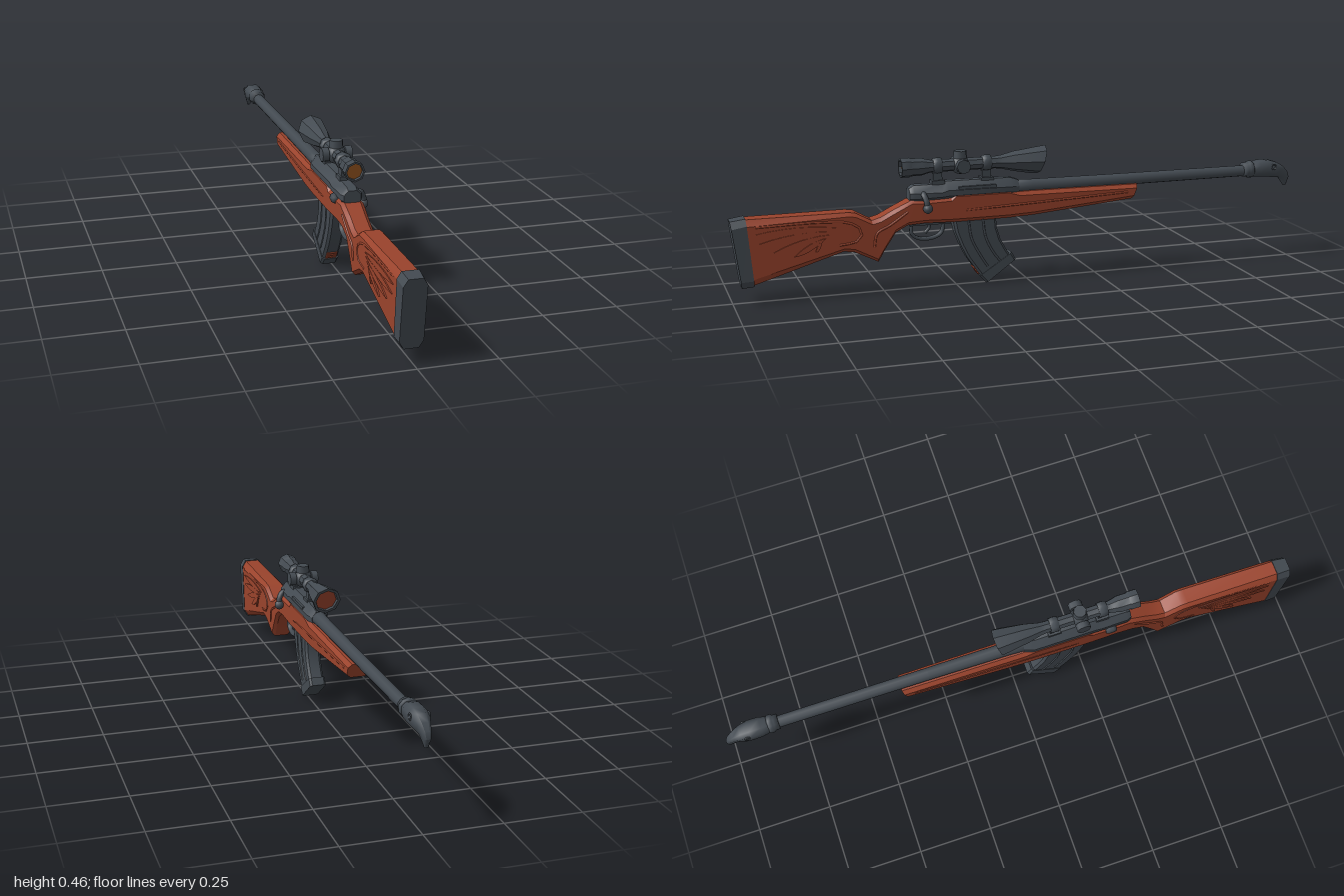
import * as THREE from 'three';
import { toCreasedNormals } from 'three/addons/utils/BufferGeometryUtils.js';

const steel = new THREE.MeshStandardMaterial({ color: 0x434a51 });
steel.name = 'gunmetal';
const wood = new THREE.MeshStandardMaterial({ color: 0x9a432c });
wood.name = 'red wood';
const amber = new THREE.MeshStandardMaterial({ color: 0x8a4d1c });
amber.name = 'amber glass';

// Chamfered cross-section between an upper and a lower point in the centre plane
function section([zt, yt, zb, yb, hw, cx = 0.012, cy = cx]) {
  const len = Math.hypot(zt - zb, yt - yb), t = Math.min(cy / len, 0.45);
  return [[hw, t], [hw, 1 - t], [hw - cx, 1], [cx - hw, 1], [-hw, 1 - t], [-hw, t], [cx - hw, 0], [hw - cx, 0]]
    .map(([x, k]) => [x, yb + (yt - yb) * k, zb + (zt - zb) * k]);
}

// Skin a run of cross-sections and cap both ends
function loft(rows, crease = 0.5) {
  const rings = rows.map(section), n = 8, index = [];
  for (let r = 0; r < rings.length - 1; r++) {
    for (let i = 0; i < n; i++) {
      const j = (i + 1) % n, a = r * n, b = a + n;
      index.push(a + i, b + i, b + j, a + i, b + j, a + j);
    }
  }
  const e = (rings.length - 1) * n;
  for (let i = 1; i < n - 1; i++) index.push(0, i, i + 1, e, e + i + 1, e + i);
  const g = new THREE.BufferGeometry();
  g.setAttribute('position', new THREE.Float32BufferAttribute(rings.flat(2), 3));
  g.setIndex(index);
  return toCreasedNormals(g, crease);
}

// Turned part along z; profile is [radius, z] with z rising on the outside
function turned(profile, sides = 10) {
  const g = new THREE.LatheGeometry(profile.map(([r, z]) => new THREE.Vector2(r, z)), sides);
  return g.rotateX(Math.PI / 2);
}

const v = (x, y, z) => new THREE.Vector3(x, y, z);
const tube = (pts, r, sides = 6, seg = 16) =>
  new THREE.TubeGeometry(new THREE.CatmullRomCurve3(pts), seg, r, sides);

export function createModel() {
  const model = new THREE.Group();
  model.name = 'rifle';
  const add = (name, geo, mat, x = 0, y = 0, z = 0) => {
    const m = new THREE.Mesh(geo, mat);
    m.name = name;
    m.position.set(x - 0.009, y, z);
    model.add(m);
    return m;
  };

  // Stock from butt to fore-end
  add('stock', loft([
    [0.952, 0.28, 0.932, 0.06, 0.038, 0.014, 0.022],
    [0.62, 0.28, 0.635, 0.15, 0.038],
    [0.595, 0.277, 0.60, 0.145, 0.038],
    [0.54, 0.247, 0.52, 0.105, 0.036],
    [0.51, 0.255, 0.50, 0.14, 0.036],
    [0.465, 0.278, 0.46, 0.20, 0.036],
    [0.40, 0.308, 0.42, 0.222, 0.038],
    [0.36, 0.305, 0.36, 0.225, 0.038],
    [0.27, 0.308, 0.27, 0.222, 0.039],
    [0.255, 0.322, 0.255, 0.222, 0.039],
    [0.07, 0.322, 0.07, 0.222, 0.039],
    [0.03, 0.31, 0.03, 0.224, 0.039],
    [-0.02, 0.31, -0.02, 0.226, 0.039],
    [-0.40, 0.307, -0.38, 0.257, 0.037, 0.013]
  ]), wood);

  // Butt pad
  add('buttPad', loft([
    [1.0, 0.276, 0.97, 0.052, 0.037, 0.014, 0.024],
    [0.95, 0.283, 0.93, 0.056, 0.0395, 0.013, 0.022]
  ]), steel);

  // Carved feathers and border on both sides of the stock
  const feathers = [[0.92, 0.232], [0.91, 0.2], [0.865, 0.168], [0.8, 0.148], [0.73, 0.16]];
  for (const side of [1, -1]) {
    const label = side > 0 ? 'left' : 'right';
    feathers.forEach(([z, y], i) => {
      const rz = 0.66 + 0.012 * i, ry = 0.235 - 0.011 * i;
      const s = new THREE.Shape();
      s.moveTo(rz, ry);
      s.quadraticCurveTo((rz + z) / 2, (ry + y) / 2 + 0.022, z, y);
      s.quadraticCurveTo((rz + z) / 2, (ry + y) / 2 - 0.022, rz, ry);
      const g = new THREE.ExtrudeGeometry(s, { depth: 0.008, bevelEnabled: false, curveSegments: 6 });
      g.rotateY(-Math.PI / 2);
      add(label + 'Feather', g, wood, side * (0.0372 + 0.0005 * i) + 0.004);
    });
    const x = side * 0.0365;
    add(label + 'CarvedBorder', tube([v(x, 0.255, 0.92), v(x, 0.256, 0.7), v(x, 0.245, 0.61),
      v(x, 0.215, 0.575), v(x, 0.185, 0.59), v(x, 0.175, 0.65)], 0.004), wood);
    add(label + 'GripScroll', tube([v(x, 0.16, 0.535), v(x, 0.205, 0.525),
      v(x, 0.23, 0.48), v(x, 0.27, 0.42)], 0.004), wood);
    add(label + 'ForeEndBead', tube([v(x, 0.262, 0.22), v(x + side * 0.001, 0.272, -0.05),
      v(x - side * 0.001, 0.284, -0.36)], 0.004), wood);
  }

  // Receiver, bolt and safety
  add('receiver', loft([
    [0.41, 0.342, 0.41, 0.295, 0.028, 0.014],
    [0.395, 0.352, 0.395, 0.285, 0.035, 0.02, 0.024],
    [0.30, 0.352, 0.30, 0.285, 0.0365, 0.022, 0.026],
    [0.28, 0.36, 0.28, 0.285, 0.037, 0.023, 0.028],
    [0.06, 0.358, 0.06, 0.285, 0.037, 0.023, 0.028],
    [0.03, 0.348, 0.03, 0.285, 0.026, 0.014, 0.02]
  ]), steel);
  add('ejectionPort', new THREE.BoxGeometry(0.02, 0.016, 0.13), steel, 0.026, 0.334, 0.18);
  add('boltHandle', tube([v(0.015, 0.325, 0.365), v(0.038, 0.322, 0.365),
    v(0.05, 0.305, 0.36), v(0.053, 0.285, 0.357)], 0.01, 8), steel);
  add('boltKnob', new THREE.SphereGeometry(0.0165, 10, 8), steel, 0.0525, 0.279, 0.356);
  add('safety', turned([[0, -0.018], [0.013, -0.018], [0.016, -0.008], [0.016, 0.008], [0.013, 0.018], [0, 0.018]], 8),
    steel, -0.035, 0.297, 0.335);

  // Barrel and muzzle collar
  add('barrel', turned([[0, -0.86], [0.0195, -0.86], [0.021, -0.3], [0.023, -0.02], [0.027, 0.06], [0, 0.06]]), steel, 0, 0.322);
  add('muzzleCollar', turned([[0, -0.853], [0.026, -0.853], [0.031, -0.848], [0.031, -0.836],
    [0.026, -0.83], [0.026, -0.815], [0, -0.815]]), steel, 0, 0.326);

  // Bird-head muzzle with a hooked beak
  add('birdHead', loft([
    [-0.845, 0.348, -0.845, 0.302, 0.024, 0.012],
    [-0.875, 0.356, -0.875, 0.299, 0.030, 0.014],
    [-0.915, 0.356, -0.91, 0.297, 0.031, 0.015],
    [-0.945, 0.347, -0.93, 0.294, 0.027, 0.014],
    [-0.972, 0.331, -0.945, 0.293, 0.020, 0.01],
    [-0.992, 0.310, -0.958, 0.290, 0.015, 0.008],
    [-0.999, 0.290, -0.968, 0.278, 0.011, 0.006],
    [-0.990, 0.262, -0.980, 0.259, 0.005, 0.002]
  ], 0.9), steel);
  for (const side of [1, -1]) {
    const brow = new THREE.TorusGeometry(0.009, 0.003, 5, 10).rotateY(Math.PI / 2);
    add('eyeRing', brow, steel, side * 0.0285, 0.334, -0.925);
  }

  // Scope tube with a slanted front bell
  const slant = g => {
    const p = g.attributes.position;
    for (let i = 0; i < p.count; i++) {
      if (p.getZ(i) < -0.03) p.setZ(i, p.getZ(i) - p.getY(i) * 0.32);
    }
    g.computeVertexNormals();
    return toCreasedNormals(g, 0.6);
  };
  const scopeY = 0.411;
  add('scopeTube', slant(turned([
    [0.034, -0.036], [0.038, -0.055], [0.048, -0.055], [0.046, -0.034], [0.034, 0.045], [0.023, 0.09], [0.021, 0.11],
    [0.021, 0.33], [0.024, 0.345], [0.03, 0.365], [0.03, 0.40], [0.033, 0.405],
    [0.033, 0.435], [0.027, 0.435], [0.026, 0.422]
  ], 8)), steel, 0, scopeY);
  add('frontLens', slant(new THREE.CircleGeometry(0.037, 8).rotateY(Math.PI).translate(0, 0, -0.044)), wood, 0, scopeY);
  add('rearLens', new THREE.CircleGeometry(0.028, 8), amber, 0, scopeY, 0.424);

  // Scope turrets
  add('turretBody', new THREE.SphereGeometry(0.033, 8, 6), steel, 0, scopeY, 0.23);
  add('topTurret', new THREE.CylinderGeometry(0.022, 0.024, 0.024, 8), steel, 0, 0.4455, 0.23);
  for (const side of [1, -1]) {
    add('sideTurret', new THREE.CylinderGeometry(0.024, 0.024, 0.022, 8).rotateZ(Math.PI / 2),
      steel, side * 0.039, scopeY, 0.23);
  }

  // Scope mounts
  for (const z of [0.31, 0.14]) {
    add('scopeRing', turned([[0.02, -0.015], [0.026, -0.015], [0.028, 0], [0.026, 0.015], [0.02, 0.015]], 8), steel, 0, scopeY, z);
    add('mountPost', new THREE.BoxGeometry(0.022, 0.05, 0.03), steel, 0, 0.37, z);
    add('mountFoot', new THREE.BoxGeometry(0.036, 0.014, 0.044), steel, 0, 0.357, z);
  }

  // Trigger and guard
  const guard = tube([v(0, 0.23, 0.40), v(0, 0.185, 0.4), v(0, 0.168, 0.375),
    v(0, 0.168, 0.325), v(0, 0.185, 0.297), v(0, 0.23, 0.29)], 0.0065, 6, 20);
  add('triggerGuard', guard.scale(1.7, 1, 1), steel);
  add('trigger', tube([v(0, 0.23, 0.345), v(0, 0.205, 0.34), v(0, 0.185, 0.355)], 0.006, 6, 8), steel);
  add('floorPlate', new THREE.BoxGeometry(0.04, 0.012, 0.14), steel, 0, 0.222, 0.34);

  // Curved magazine, side ribs and base plate
  add('magazine', loft([
    [0.112, 0.235, 0.263, 0.235, 0.0265, 0.008],
    [0.109, 0.19, 0.254, 0.185, 0.0265, 0.008],
    [0.096, 0.148, 0.236, 0.138, 0.0265, 0.008],
    [0.076, 0.112, 0.213, 0.092, 0.0265, 0.008],
    [0.064, 0.094, 0.165, 0.022, 0.0265, 0.008]
  ]), steel);
  for (const x of [0.026, -0.026]) {
    add('magazineRib', tube([v(x, 0.225, 0.16), v(x, 0.16, 0.15), v(x, 0.1, 0.12), v(x, 0.075, 0.1)], 0.004), steel);
    add('magazineRib', tube([v(x, 0.225, 0.21), v(x, 0.16, 0.2), v(x, 0.1, 0.17), v(x, 0.06, 0.145)], 0.004), steel);
  }
  add('magazineBase', loft([
    [0.058, 0.1, 0.172, 0.026, 0.0285, 0.007],
    [0.043, 0.076, 0.148, 0.0, 0.0285, 0.007]
  ]), steel);
  for (let i = 0; i < 3; i++) {
    const bar = add('redBar', new THREE.BoxGeometry(0.036, 0.007, 0.006), wood, 0, 0.034 + 0.009 * i, 0.174 + 0.0062 * i);
    bar.rotation.x = 0.6;
  }

  return model;
}
